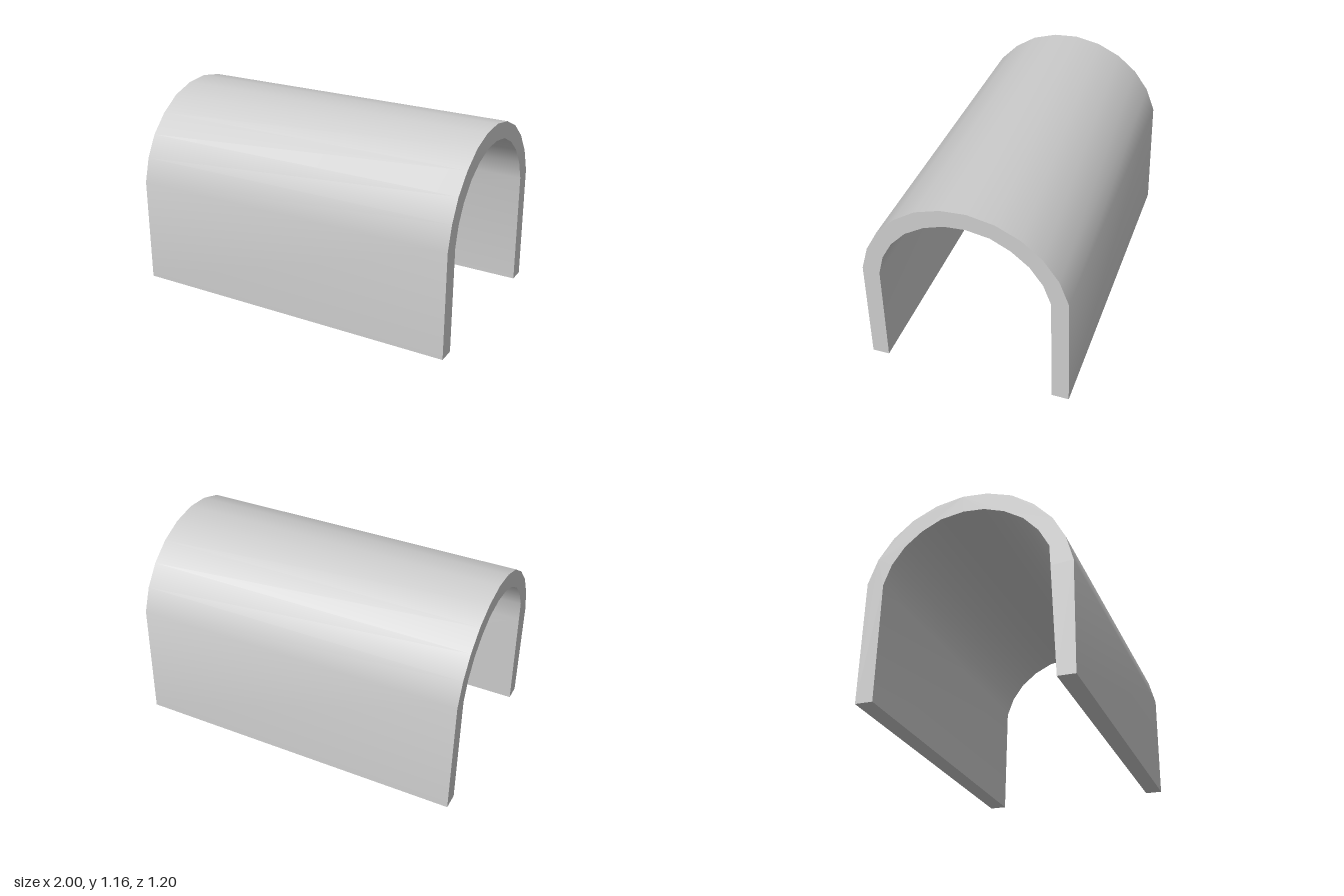
import * as THREE from 'three';
import { toCreasedNormals } from 'three/addons/utils/BufferGeometryUtils.js';

// Arch cross-section as [z, y], from the front foot over the top to the back foot
const outer = [
  [0.6, 0], [0.6, 0.64], [0.56, 0.785], [0.49, 0.915], [0.385, 1.025], [0.26, 1.108], [0.117, 1.153],
  [-0.027, 1.163], [-0.18, 1.134], [-0.318, 1.07], [-0.434, 0.975], [-0.523, 0.853], [-0.578, 0.71], [-0.597, 0],
];
const inner = [
  [0.5, 0], [0.5, 0.627], [0.47, 0.748], [0.411, 0.856], [0.325, 0.949], [0.216, 1.016], [0.1, 1.055],
  [-0.02, 1.064], [-0.152, 1.042], [-0.264, 0.987], [-0.363, 0.907], [-0.437, 0.805], [-0.482, 0.687], [-0.497, 0],
];

export function createModel() {
  const group = new THREE.Group();
  group.name = 'archedTunnel';

  // Closed section, swept along x
  const section = [...outer, ...inner.slice().reverse()];
  const shape = new THREE.Shape(section.map(([z, y]) => new THREE.Vector2(-z, y)));
  const geometry = new THREE.ExtrudeGeometry(shape, { depth: 2, bevelEnabled: false });
  geometry.translate(0, 0, -1);
  geometry.rotateY(Math.PI / 2);

  // The front wall's inner face leans straight up to the arch at the left-hand end
  const [springZ, springY] = inner[1];
  const pos = geometry.attributes.position;
  for (let i = 0; i < pos.count; i++) {
    const atSpring = Math.abs(pos.getY(i) - springY) < 1e-3 && Math.abs(pos.getZ(i) - springZ) < 1e-3;
    if (pos.getX(i) < 0 && atSpring) pos.setZ(i, 0.475);
  }

  // Smooth vault, sharp end and foot edges
  const material = new THREE.MeshStandardMaterial({ color: 0xcccccc });
  const vault = new THREE.Mesh(toCreasedNormals(geometry, 0.7), material);
  vault.name = 'vaultShell';
  group.add(vault);
  return group;
}
